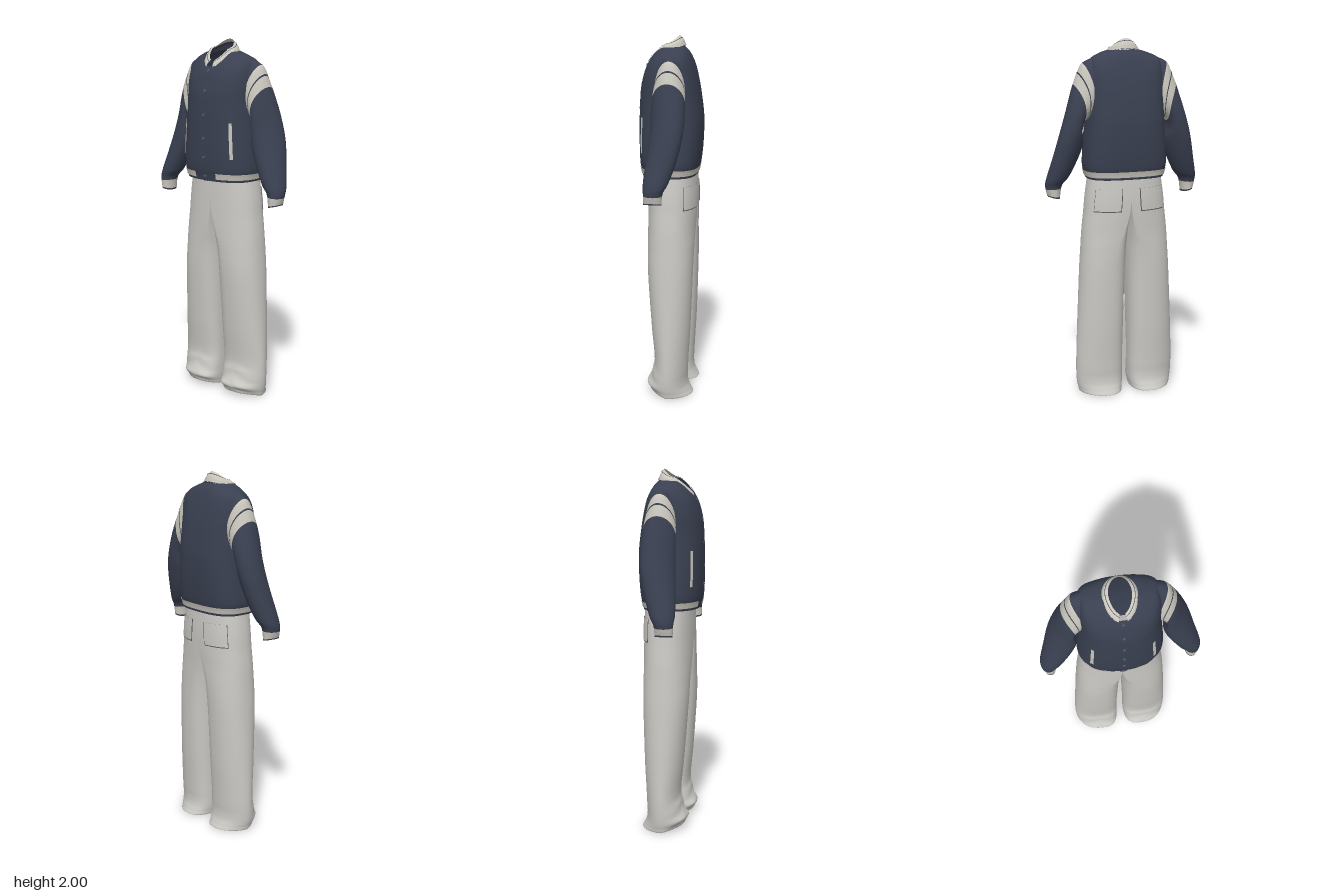
import * as THREE from 'three';

const mat = (name, color) => {
  const m = new THREE.MeshStandardMaterial({ color, side: THREE.DoubleSide });
  m.name = name;
  return m;
};
const HALF = Math.PI / 2, FULL = Math.PI * 2;
const pw = (a, e) => Math.sign(a) * Math.pow(Math.abs(a), e);

// Smoothly interpolates the rows of a cross-section table at position v
function rowAt(rows, v) {
  const n = rows.length - 1;
  const i = Math.min(n - 1, Math.max(0, Math.floor(v))), t = v - i;
  const [a, b, c, d] = [i - 1, i, i + 1, i + 2].map(k => rows[Math.min(n, Math.max(0, k))]);
  return b.map((q, k) => q + 0.5 * t * (c[k] - a[k] +
    t * (2 * a[k] - 5 * q + 4 * c[k] - d[k] + t * (3 * (q - c[k]) + d[k] - a[k]))));
}

// Builds a piece of a lofted surface, lifted outwards by "lift"
function patch(name, material, point, [u0, u1], [v0, v1], nu, nv, lift = 0) {
  const E = 0.012;
  const normal = (u, v) => {
    const du = point(u + E, v).sub(point(u - E, v));
    const dv = point(u, v + E).sub(point(u, v - E));
    return du.cross(dv).normalize();
  };
  // Decide which way is outwards from the middle of the piece
  const um = (u0 + u1) / 2 + 0.01, vm = (v0 + v1) / 2;
  const centre = new THREE.Vector3();
  for (let k = 0; k < 8; k++) centre.addScaledVector(point(k * FULL / 8, vm), 1 / 8);
  const sign = normal(um, vm).dot(point(um, vm).sub(centre)) < 0 ? -1 : 1;
  const pos = [], nor = [], idx = [];
  for (let j = 0; j <= nv; j++) for (let i = 0; i <= nu; i++) {
    const u = u0 + (u1 - u0) * i / nu, v = v0 + (v1 - v0) * j / nv;
    const n = normal(u, v).multiplyScalar(sign);
    pos.push(...point(u, v).addScaledVector(n, lift).toArray());
    nor.push(...n.toArray());
    if (i < nu && j < nv) {
      const a = j * (nu + 1) + i, b = a + 1, c = a + nu + 1, d = c + 1;
      if (sign > 0) idx.push(a, b, d, a, d, c);
      else idx.push(a, d, b, a, c, d);
    }
  }
  const g = new THREE.BufferGeometry();
  g.setAttribute('position', new THREE.Float32BufferAttribute(pos, 3));
  g.setAttribute('normal', new THREE.Float32BufferAttribute(nor, 3));
  g.setIndex(idx);
  const mesh = new THREE.Mesh(g, material);
  mesh.name = name;
  return mesh;
}

// Jacket body: half width, y at front / side / back, z at front / back / side
const TORSO = [
  [0.215, 1.245, 1.245, 1.245, 0.155, -0.145, -0.01],
  [0.223, 1.275, 1.275, 1.275, 0.160, -0.150, -0.01],
  [0.232, 1.32, 1.32, 1.32, 0.168, -0.160, -0.01],
  [0.227, 1.42, 1.42, 1.42, 0.172, -0.170, -0.01],
  [0.217, 1.55, 1.55, 1.55, 0.172, -0.173, -0.015],
  [0.210, 1.65, 1.68, 1.66, 0.169, -0.161, -0.02],
  [0.208, 1.72, 1.80, 1.75, 0.163, -0.145, -0.02],
  [0.190, 1.78, 1.890, 1.83, 0.150, -0.125, -0.02],
  [0.135, 1.83, 1.922, 1.90, 0.135, -0.100, 0],
  [0.082, 1.86, 1.938, 1.94, 0.120, -0.070, 0.02],
];
const COLLAR = [
  [0.093, 1.855, 1.922, 1.945, 0.130, -0.077, 0.02],
  [0.080, 1.872, 1.947, 1.975, 0.122, -0.066, 0.02],
  [0.057, 1.890, 1.957, 2.0, 0.102, -0.045, 0.02],
];
const bodyPoint = (rows, eBack, eFront) => (u, v) => {
  const [w, yF, yS, yB, zF, zB, zS] = rowAt(rows, v);
  const c = Math.cos(u), s = Math.sin(u), k = Math.abs(s), e = s > 0 ? eFront : eBack;
  return new THREE.Vector3(w * pw(c, e),
    yS + ((s > 0 ? yF : yB) - yS) * Math.pow(k, 1.5),
    zS + ((s > 0 ? zF : zB) - zS) * Math.pow(k, e));
};

// Sleeve: outer x, y / inner x, y / z centre and half depth
const SLEEVE = [
  [0.180, 1.900, 0.170, 1.58, -0.02, 0.075],
  [0.238, 1.872, 0.200, 1.57, -0.02, 0.080],
  [0.263, 1.828, 0.222, 1.565, -0.02, 0.085],
  [0.289, 1.762, 0.241, 1.55, -0.02, 0.089],
  [0.313, 1.684, 0.243, 1.51, -0.02, 0.092],
  [0.342, 1.580, 0.233, 1.45, -0.017, 0.091],
  [0.375, 1.460, 0.247, 1.39, -0.007, 0.087],
  [0.407, 1.340, 0.275, 1.32, 0.010, 0.079],
  [0.434, 1.240, 0.310, 1.25, 0.028, 0.066],
  [0.437, 1.195, 0.345, 1.205, 0.038, 0.052],
  [0.425, 1.145, 0.358, 1.13, 0.040, 0.048],
];
const sleevePoint = side => (u, v) => {
  const [xo, yo, xi, yi, z, d] = rowAt(SLEEVE, v);
  const c = Math.cos(u), s = Math.sin(u), t = (1 + c) / 2;
  // The armhole seam curves in towards the chest and the back
  const pull = 0.03 * s * s * THREE.MathUtils.smoothstep(6 - v, 0, 4);
  // The elbow turns outwards at the back
  const elbow = 0.025 * s * Math.exp(-((v - 5.5) ** 2) / 3);
  return new THREE.Vector3(side * (xi + (xo - xi) * t - pull - elbow), yi + (yo - yi) * t, z + d * s);
};

// Trouser leg: y, front lift / inner, middle, outer x / front, back z
const LEG = [
  [0.030, 0.020, 0.070, 0.135, 0.225, 0.050, -0.095],
  [0.004, 0.022, 0.034, 0.135, 0.265, 0.085, -0.140],
  [0.030, 0.018, 0.026, 0.135, 0.275, 0.105, -0.128],
  [0.060, 0.008, 0.022, 0.135, 0.281, 0.118, -0.115],
  [0.100, 0, 0.021, 0.138, 0.284, 0.100, -0.110],
  [0.150, 0, 0.020, 0.140, 0.285, 0.084, -0.112],
  [0.220, 0, 0.020, 0.140, 0.284, 0.073, -0.115],
  [0.400, 0, 0.017, 0.135, 0.276, 0.090, -0.125],
  [0.700, 0, 0.009, 0.120, 0.260, 0.112, -0.135],
  [0.850, 0, 0.004, 0.088, 0.250, 0.117, -0.139],
  [0.950, 0, 0.001, 0.045, 0.243, 0.120, -0.142],
  [1.050, 0, 0, 0.010, 0.232, 0.122, -0.147],
  [1.150, 0, 0, 0, 0.222, 0.122, -0.148],
  [1.300, 0, 0, 0, 0.200, 0.120, -0.140],
];
const legPoint = side => (u, v) => {
  const [y, lift, xi, xm, xo, zF, zB] = rowAt(LEG, v);
  const c = Math.cos(u), s = Math.sin(u), zc = -0.01;
  // Flatter on the inside, rounder on the outside towards the hem
  const e = c > 0 ? 0.85 + 0.25 * Math.max(0, 1 - y) : 0.75;
  const x = xm + (c > 0 ? xo - xm : xm - xi) * pw(c, e);
  // Soft folds where the cloth pools at the hem
  const fold = 0.004 * Math.max(0, s) * Math.max(0, 1 - y / 0.22) * Math.sin(80 * y + 35 * Math.abs(x - 0.14));
  return new THREE.Vector3(side * x, y + lift * Math.max(0, s),
    zc + ((s > 0 ? zF : zB) - zc) * Math.pow(Math.abs(s), e) + fold);
};

export function createModel() {
  const navy = mat('navy cloth', 0x3a4051);
  const trim = mat('cream rib', 0xc8c5bb);
  const cotton = mat('pale cotton', 0xcbc9c4);
  const stud = mat('slate stud', 0x50576a);
  const seam = mat('seam shadow', 0x5c5c5e);
  const model = new THREE.Group();
  const jacket = new THREE.Group(), trousers = new THREE.Group();
  jacket.name = 'jacket';
  trousers.name = 'trousers';
  model.add(jacket, trousers);

  // Body, hem stripe and front placket
  const torso = bodyPoint(TORSO, 0.7, 0.8), ring = [0, FULL];
  jacket.add(
    patch('jacketBody', navy, torso, ring, [0, 9], 72, 54),
    patch('hemStripe', trim, torso, [HALF + 0.24, HALF - 0.24 + FULL], [0.55, 1.45], 72, 5, 0.004),
    patch('placket', navy, torso, [HALF - 0.05, HALF + 0.05], [0, 8.9], 6, 45, 0.004));

  // Collar with fine stripes and a dark lining, open in a V at the front
  const collar = bodyPoint(COLLAR, 0.95, 1.1), open = [HALF + 0.27, HALF - 0.27 + FULL];
  jacket.add(
    patch('collar', trim, collar, open, [0, 2], 56, 8),
    patch('collarLining', navy, collar, open, [0, 1.35], 56, 6, -0.003),
    patch('collarEdge', navy, collar, open, [0, 0.12], 56, 2, 0.003),
    patch('collarStripe', navy, collar, open, [1.35, 1.45], 56, 2, 0.003));

  // Snap buttons
  for (const v of [8.2, 6.2, 4.5, 3.45, 2.6, 0.9]) {
    const b = new THREE.Mesh(new THREE.CylinderGeometry(0.007, 0.009, 0.006, 16), stud);
    b.name = 'button';
    b.rotation.x = HALF;
    b.position.copy(torso(HALF, v)).add(new THREE.Vector3(0, 0, 0.006));
    jacket.add(b);
  }

  for (const side of [1, -1]) {
    // Sleeve sections from shoulder to cuff
    const sleeve = sleevePoint(side);
    const parts = [
      ['armhole', navy, 0, 1], ['shoulderStripe', trim, 1, 2.05], ['shoulderGap', navy, 2.05, 2.2],
      ['shoulderStripe', trim, 2.2, 3.05], ['sleeve', navy, 3.05, 9.2],
      ['cuff', trim, 9.2, 9.82], ['cuffEdge', navy, 9.82, 10],
    ];
    for (const [name, m, a, b] of parts)
      jacket.add(patch(name, m, sleeve, ring, [a, b], 40, Math.ceil((b - a) * 5)));

    // Slanted welt pocket
    const welt = side > 0 ? [0.81, 0.91] : [Math.PI - 0.91, Math.PI - 0.81];
    jacket.add(patch('weltPocket', trim, torso, welt, [2.6, 4.15], 4, 16, 0.006));

    // Leg and back pocket
    const leg = legPoint(side);
    trousers.add(
      patch('leg', cotton, leg, ring, [0, 13], 64, 91),
      patch('pocketSeam', seam, leg, [-1.40, -0.58], [11.18, 12.3], 16, 8, 0.002),
      patch('backPocket', cotton, leg, [-1.38, -0.60], [11.24, 12.3], 16, 8, 0.004));
  }

  // Fly flap
  trousers.add(patch('fly', cotton, legPoint(1), [HALF - 0.12, HALF - 0.005], [12.25, 12.75], 4, 6, 0.006));
  return model;
}
